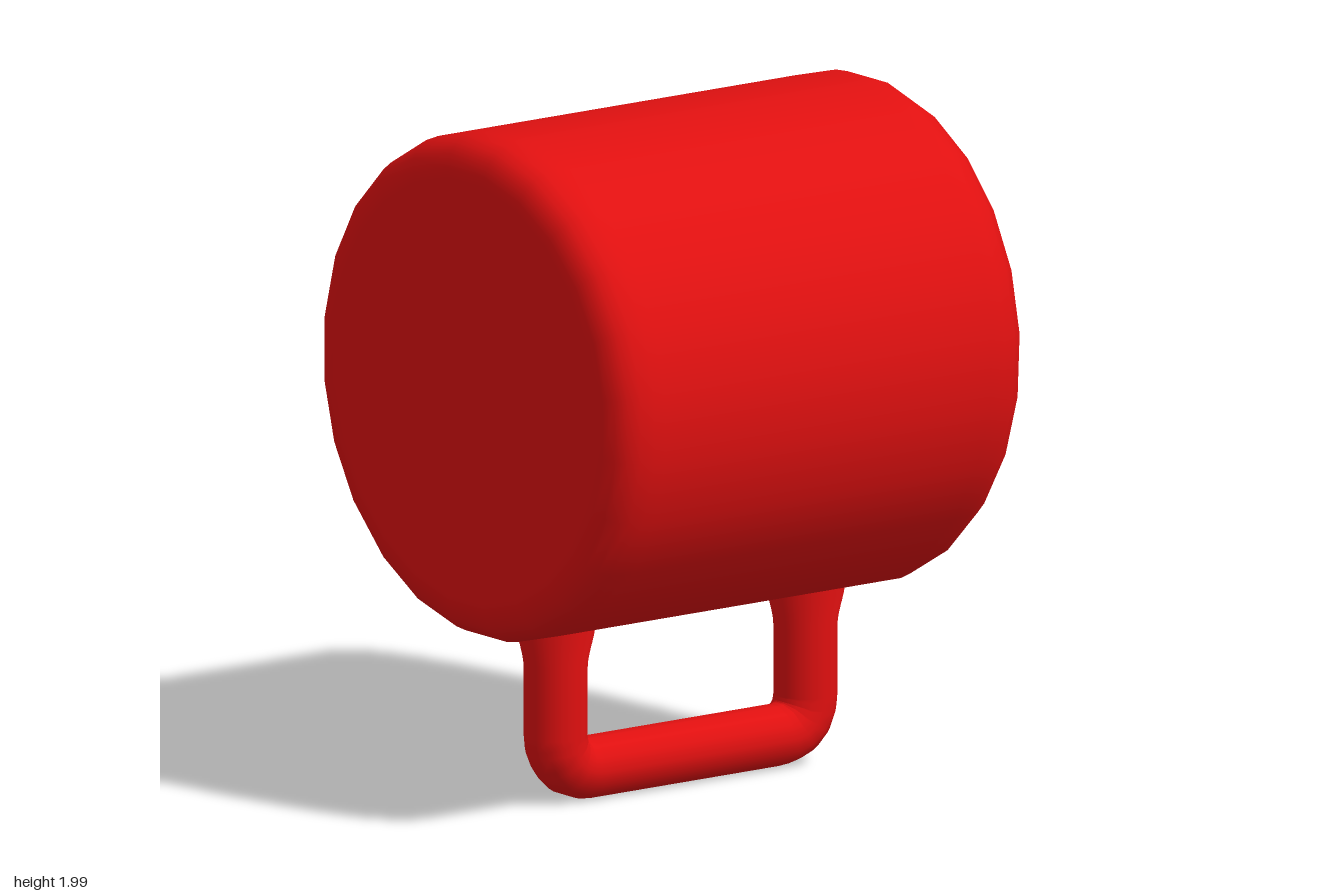
import * as THREE from 'three';

const AXIS_Y = 1.26;

// Mug body: a closed wall profile [radius, distance along axis], turned about x
function makeBody(material) {
  const profile = [
    [0, -0.76], [0.62, -0.76], [0.65, -0.757], [0.69, -0.745], [0.72, -0.72],
    [0.737, -0.685], [0.743, -0.64], [0.743, -0.6], [0.743, 0.58], [0.743, 0.63], [0.733, 0.67],
    [0.705, 0.71], [0.67, 0.728], [0.63, 0.728], [0.59, 0.705], [0.562, 0.665],
    [0.552, 0.61], [0.55, 0.55], [0.53, -0.52], [0.525, -0.55], [0.505, -0.57],
    [0.47, -0.575], [0, -0.575],
  ].map(([r, a]) => new THREE.Vector2(r, a));
  const geometry = new THREE.LatheGeometry(profile, 24, Math.PI / 24);
  geometry.rotateZ(-Math.PI / 2);

  // Lean the rim slightly outward at the top
  const p = geometry.attributes.position;
  for (let i = 0; i < p.count; i++) {
    if (p.getX(i) > 0.5) p.setX(i, p.getX(i) + 0.04 * p.getY(i));
  }
  geometry.translate(0, AXIS_Y, 0);
  const body = new THREE.Mesh(geometry, material);
  body.name = 'mugBody';
  return body;
}

// Handle: round bar with two legs and tight bends
function makeHandle(material) {
  const left = -0.432, right = 0.474, low = 0.093, top = 0.58, bend = 0.1;
  const v = (x, y) => new THREE.Vector3(x, y, 0);
  const points = [v(left, top), v(left, 0.5), v(left, 0.35), v(left, low + bend)];
  const corner = (cx, start) => {
    for (let i = 1; i <= 4; i++) {
      const a = start + (i / 4) * Math.PI / 2;
      points.push(v(cx + bend * Math.cos(a), low + bend + bend * Math.sin(a)));
    }
  };
  corner(left + bend, Math.PI);
  points.push(v(0, low));
  points.push(v(right - bend, low));
  corner(right - bend, Math.PI * 1.5);
  points.push(v(right, 0.35), v(right, 0.5), v(right, top));

  const path = new THREE.CurvePath();
  for (let i = 1; i < points.length; i++) path.add(new THREE.LineCurve3(points[i - 1], points[i]));
  const geometry = new THREE.TubeGeometry(path, 90, 0.09, 14, false);

  // Flare the legs a little where they meet the body
  const p = geometry.attributes.position;
  for (let i = 0; i < p.count; i++) {
    const f = 1 + 0.25 * THREE.MathUtils.smoothstep(p.getY(i), 0.4, 0.54);
    const c = p.getX(i) < 0 ? left : right;
    if (f > 1) p.setX(i, c + (p.getX(i) - c) * f);
    p.setZ(i, p.getZ(i) * 1.06 * f);
  }
  const handle = new THREE.Mesh(geometry, material);
  handle.name = 'handle';
  return handle;
}

export function createModel() {
  const red = new THREE.MeshStandardMaterial({ color: 0xe01010 });
  red.name = 'red';
  const mug = new THREE.Group();
  mug.name = 'mug';
  mug.add(makeBody(red), makeHandle(red));
  return mug;
}
